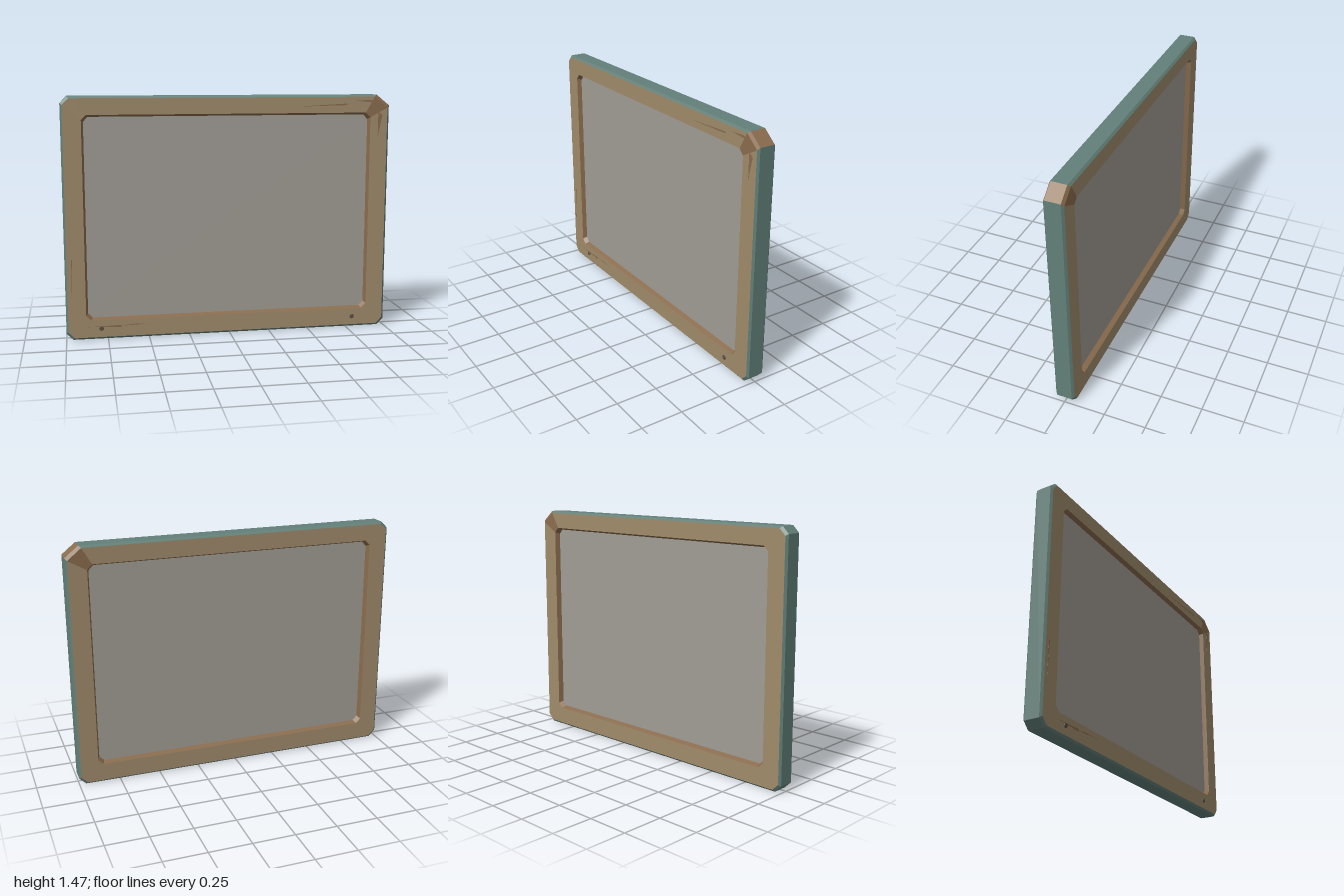
import * as THREE from 'three';

const material = (name, color) => {
  const m = new THREE.MeshStandardMaterial({ color });
  m.name = name;
  return m;
};

// Eight-cornered outline, anticlockwise; the top corner on +x has its own cut
function outline(x, y0, y1, c, tx = c, ty = c) {
  return [[x - c, y0], [x, y0 + c], [x, y1 - ty], [x - tx, y1],
    [-x + c, y1], [-x, y1 - c], [-x, y0 + c], [-x + c, y0]];
}

// Flat-sided band joining two outlines at two depths, for the chosen edges
function band(a, za, b, zb, edges) {
  const pos = [];
  for (const i of edges) {
    const j = (i + 1) % 8;
    const A = [...a[i], za], B = [...a[j], za], C = [...b[j], zb], D = [...b[i], zb];
    pos.push(...A, ...B, ...C, ...A, ...C, ...D);
  }
  const g = new THREE.BufferGeometry();
  g.setAttribute('position', new THREE.Float32BufferAttribute(pos, 3));
  g.computeVertexNormals();
  return g;
}

export function createModel() {
  const group = new THREE.Group();
  const wood = material('wood', 0xa08b6b);
  const darkWood = material('worn wood', 0x8a6c4e);
  const teal = material('teal paint', 0x638079);
  const slate = material('grey panel', 0xa19d96);
  const metal = material('dark metal', 0x5c5044);
  for (const m of [wood, darkWood, teal, slate]) m.flatShading = false;

  const add = (name, geometry, mat) => {
    const mesh = new THREE.Mesh(geometry, mat);
    mesh.name = name;
    group.add(mesh);
    return mesh;
  };

  // Frame section, swept from the outer back edge round to the back face
  const F = 0.056, B = -0.06;
  const outer = outline(1, 0, 1.465, 0.04, 0.08, 0.065);
  const edge = outline(0.988, 0.012, 1.453, 0.038, 0.082, 0.067);
  const mouth = outline(0.88, 0.118, 1.356, 0.03);
  const seat = outline(0.868, 0.13, 1.344, 0.028);
  const section = [
    ['outerSide', outer, -0.047, outer, 0.045, teal],
    ['frontBevel', outer, 0.045, edge, F, teal],
    ['frontFace', edge, F, mouth, F, wood],
    ['frontInnerWall', mouth, F, seat, 0.03, darkWood],
    ['backInnerWall', seat, -0.03, mouth, B, darkWood],
    ['backFace', mouth, B, edge, B, wood],
    ['backBevel', edge, B, outer, -0.047, teal],
  ];
  for (const [name, a, za, b, zb, mat] of section) {
    add(name, band(a, za, b, zb, [0, 1, 3, 4, 5, 6, 7]), mat);
    add(name + 'WornCorner', band(a, za, b, zb, [2]), darkWood);
  }

  // Panel held in the frame
  const shape = new THREE.Shape(
    outline(0.875, 0.123, 1.351, 0.03).map(([x, y]) => new THREE.Vector2(x, y)));
  const panel = new THREE.ExtrudeGeometry(shape, { depth: 0.06, bevelEnabled: false });
  panel.translate(0, 0, -0.03);
  add('panel', panel, slate);

  // Scratches: thin slivers on the front face
  const scratches = [
    [[0.41, 1.395], [0.73, 1.402], [0.73, 1.412]],
    [[0.78, 1.428], [0.93, 1.415], [0.88, 1.434]],
    [[0.93, 1.21], [0.957, 1.34], [0.93, 1.36]],
    [[-0.965, 0.285], [-0.955, 0.5], [-0.962, 0.49]],
    [[-0.87, 0.078], [-0.67, 0.07], [-0.67, 0.083]],
    [[-0.67, 0.077], [-0.49, 0.084], [-0.6, 0.086]],
  ];
  for (const points of scratches) {
    const s = new THREE.Shape(points.map(([x, y]) => new THREE.Vector2(x, y)));
    const g = new THREE.ExtrudeGeometry(s, { depth: 0.001, bevelEnabled: false });
    add('scratch', g.translate(0, 0, F), darkWood);
  }

  // Small studs near the lower corners
  for (const x of [-0.79, 0.79]) {
    const stud = add('stud', new THREE.CylinderGeometry(0.013, 0.015, 0.008, 8), metal);
    stud.rotation.x = Math.PI / 2;
    stud.position.set(x, 0.065, F + 0.002);
  }
  return group;
}
